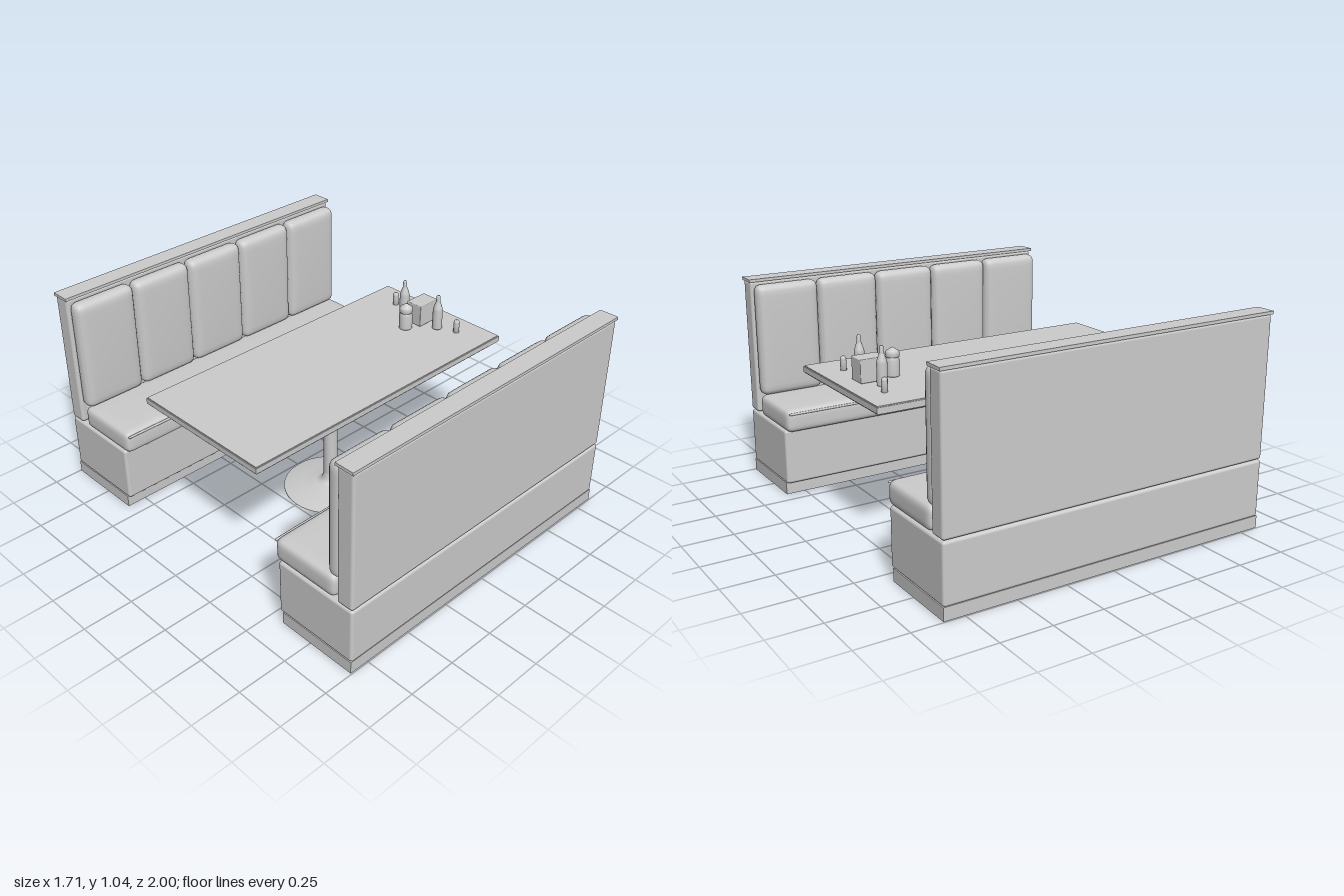
import * as THREE from 'three';
import { mergeVertices } from 'three/addons/utils/BufferGeometryUtils.js';
import { RoundedBoxGeometry } from 'three/addons/geometries/RoundedBoxGeometry.js';

const grey = new THREE.MeshStandardMaterial({ color: 0xcccccc });
const greyOpen = new THREE.MeshStandardMaterial({ color: 0xcccccc, side: THREE.DoubleSide });

function add(parent, name, geometry, x = 0, y = 0, z = 0, material = grey) {
  const mesh = new THREE.Mesh(geometry, material);
  mesh.name = name;
  mesh.position.set(x, y, z);
  parent.add(mesh);
  return mesh;
}

// Adds a block given by its lower and upper limits; r rounds the edges.
function block(parent, name, [x0, x1], [y0, y1], [z0, z1], r = 0) {
  const size = [x1 - x0, y1 - y0, z1 - z0];
  const geometry = r ? new RoundedBoxGeometry(...size, 3, r) : new THREE.BoxGeometry(...size);
  return add(parent, name, geometry, (x0 + x1) / 2, (y0 + y1) / 2, (z0 + z1) / 2);
}

// Padded box: rounded edges and a soft swelling along one axis direction.
function cushion(w, h, d, r, segments, axis, sign, swell) {
  const geometry = new THREE.BoxGeometry(w, h, d, ...segments);
  geometry.deleteAttribute('uv');
  geometry.deleteAttribute('normal');
  const half = [w / 2, h / 2, d / 2];
  const position = geometry.attributes.position;
  const p = new THREE.Vector3(), core = new THREE.Vector3();
  for (let i = 0; i < position.count; i++) {
    p.fromBufferAttribute(position, i);
    // crowd the grid lines towards the edges
    const t = p.toArray().map((v, k) => Math.sin((v / half[k]) * Math.PI / 2));
    p.fromArray(t.map((v, k) => v * half[k]));
    core.fromArray(p.toArray().map((v, k) => THREE.MathUtils.clamp(v, r - half[k], half[k] - r)));
    p.sub(core);
    if (p.lengthSq() > 0) p.setLength(r);
    p.add(core);
    if (t[axis] * sign > 0) {
      const fall = t.reduce((f, v, k) => (k === axis ? f : f * (1 - v * v)), 1);
      p.setComponent(axis, p.getComponent(axis) + sign * swell * t[axis] * sign * Math.sqrt(Math.max(fall, 0)));
    }
    position.setXYZ(i, p.x, p.y, p.z);
  }
  const merged = mergeVertices(geometry, 1e-5);
  merged.computeVertexNormals();
  return merged;
}

function lathe(points, sides) {
  return new THREE.LatheGeometry(points.map(([r, y]) => new THREE.Vector2(r, y)), sides);
}

// Bench with its back towards +z
function createBench(name) {
  const bench = new THREE.Group();
  bench.name = name;

  // Hollow toe-kick frame, open underneath
  const outline = new THREE.Shape([[-0.85, 0.575], [0.85, 0.575], [0.85, 0.995], [-0.85, 0.995]]
    .map(([x, z]) => new THREE.Vector2(x, -z)));
  outline.holes.push(new THREE.Path([[-0.84, 0.585], [0.84, 0.585], [0.84, 0.985], [-0.84, 0.985]]
    .map(([x, z]) => new THREE.Vector2(x, -z))));
  const frame = new THREE.ExtrudeGeometry(outline, { depth: 0.062, bevelEnabled: false });
  frame.rotateX(-Math.PI / 2);
  add(bench, 'plinth', frame);

  block(bench, 'seatBase', [-0.85, 0.85], [0.06, 0.342], [0.555, 0.998], 0.014);
  block(bench, 'backPanel', [-0.85, 0.85], [0.345, 1.032], [0.908, 0.998], 0.014);
  block(bench, 'backCap', [-0.856, 0.856], [1.03, 1.045], [0.903, 1.0]);

  // Seat cushion with piping along its front top edge
  add(bench, 'seatCushion', cushion(1.69, 0.115, 0.36, 0.032, [24, 10, 18], 1, 1, 0.008), 0, 0.391, 0.706);
  const piping = new THREE.CapsuleGeometry(0.006, 1.66, 4, 8);
  piping.rotateZ(Math.PI / 2);
  add(bench, 'seatPiping', piping, 0, 0.432, 0.526);

  // Row of upright back pads
  for (let i = 0; i < 5; i++) {
    add(bench, 'backPad' + (i + 1), cushion(0.332, 0.575, 0.08, 0.036, [16, 20, 10], 2, -1, 0.009),
      (i - 2) * 0.3375, 0.732, 0.877);
  }
  return bench;
}

function createTable() {
  const table = new THREE.Group();
  table.name = 'table';
  block(table, 'tableTop', [-0.803, 0.803], [0.68, 0.717], [-0.379, 0.379]);
  block(table, 'tableEdgeBand', [-0.807, 0.807], [0.685, 0.712], [-0.383, 0.383]);

  // Flared foot, column and top support; the foot is a hollow shell
  add(table, 'pedestalFoot', lathe([
    [0.238, 0], [0.238, 0.008], [0.15, 0.022], [0.07, 0.034], [0.05, 0.044], [0.04, 0.062], [0.035, 0.09],
  ], 40), 0, 0, 0, greyOpen);
  add(table, 'column', new THREE.CylinderGeometry(0.035, 0.035, 0.58, 28, 1, true), 0, 0.36, 0, greyOpen);
  add(table, 'topSupport', lathe([
    [0.035, 0.632], [0.042, 0.637], [0.055, 0.648], [0.08, 0.66], [0.133, 0.673], [0.133, 0.682],
  ], 40), 0, 0, 0, greyOpen);
  return table;
}

function createCondiments() {
  const set = new THREE.Group();
  set.name = 'condiments';
  set.position.y = 0.717;
  block(set, 'napkinHolder', [0.587, 0.715], [0, 0.112], [-0.047, 0.047], 0.004);

  const bottle = lathe([[0, 0], [0.024, 0], [0.025, 0.004], [0.025, 0.105], [0.022, 0.118],
    [0.013, 0.145], [0.011, 0.15], [0.01, 0.178], [0.007, 0.184], [0, 0.185]], 20);
  const shaker = lathe([[0, 0], [0.015, 0], [0.015, 0.045], [0.013, 0.048], [0.015, 0.051],
    [0.014, 0.06], [0.009, 0.067], [0, 0.069]], 16);
  for (const side of [-1, 1]) {
    add(set, 'sauceBottle', bottle, 0.642, 0, side * 0.113);
    add(set, 'shaker', shaker, 0.68, 0, side * 0.208);
  }

  // Sugar jar with domed lid
  add(set, 'sugarJar', lathe([[0, 0], [0.032, 0], [0.034, 0.004], [0.034, 0.075], [0.027, 0.088], [0.027, 0.093]], 24), 0.53);
  add(set, 'sugarJarLid', lathe([[0.027, 0.092], [0.033, 0.092], [0.033, 0.113], [0.028, 0.12],
    [0.012, 0.13], [0.008, 0.135], [0, 0.136]], 24), 0.53);
  return set;
}

export function createModel() {
  const model = new THREE.Group();
  model.name = 'diningBooth';
  const rear = createBench('rearBench');
  rear.rotation.y = Math.PI;
  model.add(createBench('frontBench'), rear, createTable(), createCondiments());
  return model;
}
